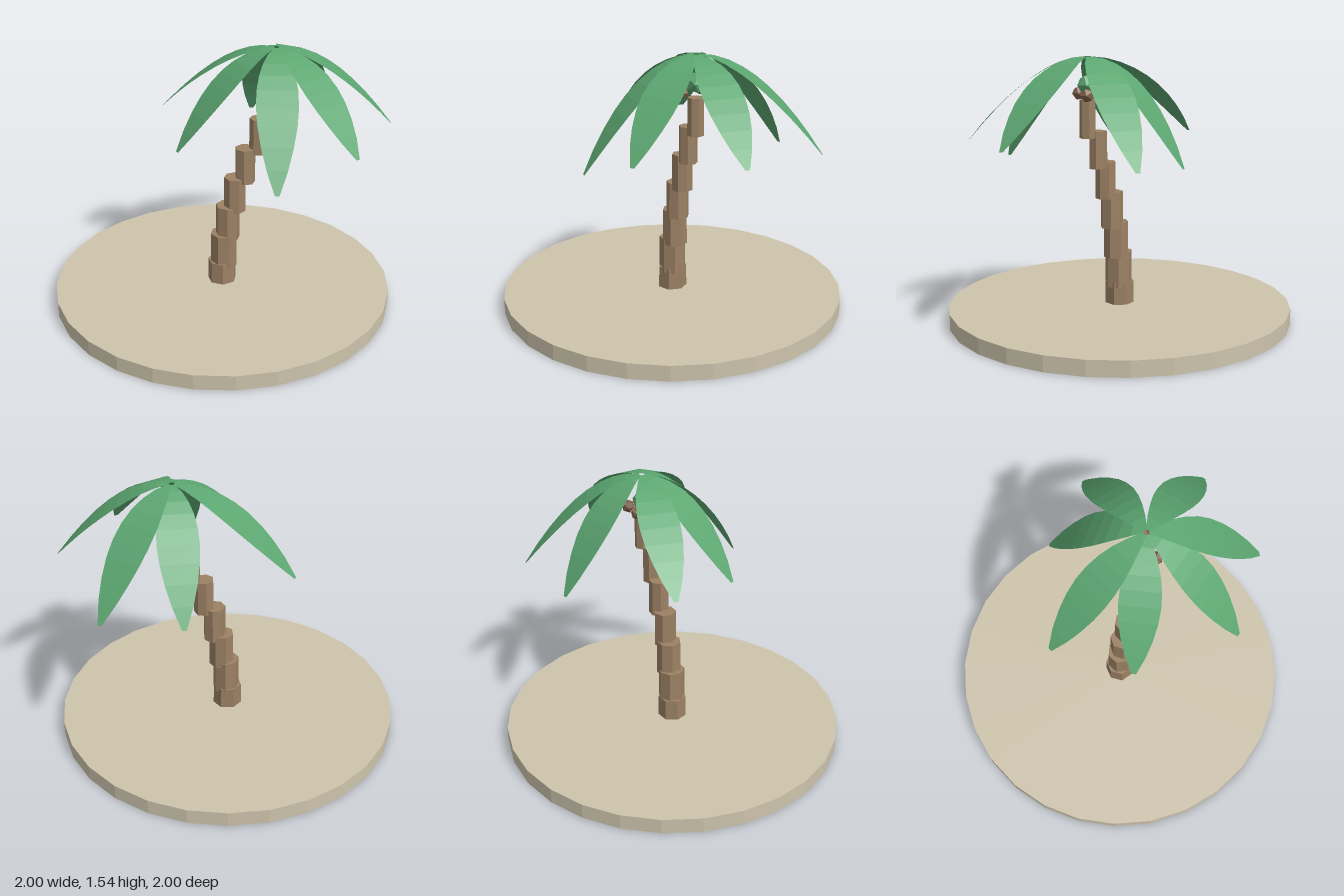
import * as THREE from 'three';

const mat = (name, color, extra = {}) => {
  const m = new THREE.MeshStandardMaterial({ color, flatShading: true, ...extra });
  m.name = name;
  return m;
};

// Flat arching leaf strip from the crown to its tip, built from cross-sections
function frondGeometry(start, tip, rows = 9) {
  const dx = tip[0] - start[0], dz = tip[2] - start[2];
  const len = Math.hypot(dx, dz);
  const sx = -dz / len, sz = dx / len; // sideways direction
  const pos = [], index = [];
  for (let i = 0; i <= rows; i++) {
    const t = i / rows;
    const half = 0.012 + 0.102 * Math.pow(Math.max(0, Math.sin(Math.PI * Math.pow(t, 1.1))), 0.85);
    const x = start[0] + dx * t, z = start[2] + dz * t;
    const y = start[1] + (tip[1] - start[1]) * Math.pow(t, 1.75);
    pos.push(x + sx * half, y, z + sz * half, x - sx * half, y, z - sz * half);
    if (i < rows) {
      const a = i * 2;
      index.push(a, a + 2, a + 1, a + 1, a + 2, a + 3);
    }
  }
  const g = new THREE.BufferGeometry();
  g.setAttribute('position', new THREE.Float32BufferAttribute(pos, 3));
  g.setIndex(index);
  // make the upper side the front
  g.computeVertexNormals();
  if (g.attributes.normal.getY(6) < 0) {
    g.setIndex(index.slice().reverse());
    g.computeVertexNormals();
  }
  return g;
}

export function createModel() {
  const model = new THREE.Group();
  model.name = 'palmIsland';
  const sand = mat('sand', 0xcdc4ac);
  const bark = mat('bark', 0x9c8164);
  const leaf = mat('leaf', 0x5ca671, { side: THREE.DoubleSide });
  const shell = mat('coconutShell', 0x7f5f4a);

  const add = (name, geometry, material, x = 0, y = 0, z = 0, parent = model) => {
    const mesh = new THREE.Mesh(geometry, material);
    mesh.name = name;
    mesh.position.set(x, y, z);
    parent.add(mesh);
    return mesh;
  };

  // Sand disc
  add('island', new THREE.CylinderGeometry(1, 1, 0.09, 28), sand, 0, 0.045, 0);

  // Trunk of stacked upright segments, leaning along a parabola
  const trunk = new THREE.Group();
  trunk.name = 'trunk';
  model.add(trunk);
  const lean = 0.3, count = 7;
  for (let i = 0; i < count; i++) {
    const r = 0.086 - i * 0.0066;
    const x = lean * (i / (count - 1)) ** 2;
    add('trunkSegment', new THREE.CylinderGeometry(r * 0.98, r, 0.212, 7), bark,
      x, 0.115 + i * 0.1815, 0, trunk).rotation.y = i * 0.4;
  }

  // Crown bud
  add('crown', new THREE.IcosahedronGeometry(0.06, 0), leaf, lean, 1.39, 0);

  // Coconuts below the crown
  for (const [x, z] of [[0.37, -0.05], [0.28, 0.075], [0.25, -0.065]]) {
    add('coconut', new THREE.IcosahedronGeometry(0.04, 0), shell, x, 1.34, z);
  }

  // Fronds, listed by tip position
  const tips = [
    [0.96, 1.095, 0.045], [0.675, 1.09, 0.535], [0.24, 0.94, 0.63], [-0.265, 1.03, 0.225],
    [-0.37, 1.09, -0.235], [0.225, 0.97, -0.575], [0.665, 1.01, -0.585],
  ];
  const fronds = new THREE.Group();
  fronds.name = 'fronds';
  model.add(fronds);
  for (const tip of tips) {
    const a = Math.atan2(tip[2], tip[0] - lean);
    const start = [lean + 0.015 * Math.cos(a), 1.545, 0.015 * Math.sin(a)];
    add('frond', frondGeometry(start, tip), leaf, 0, 0, 0, fronds);
  }
  return model;
}
